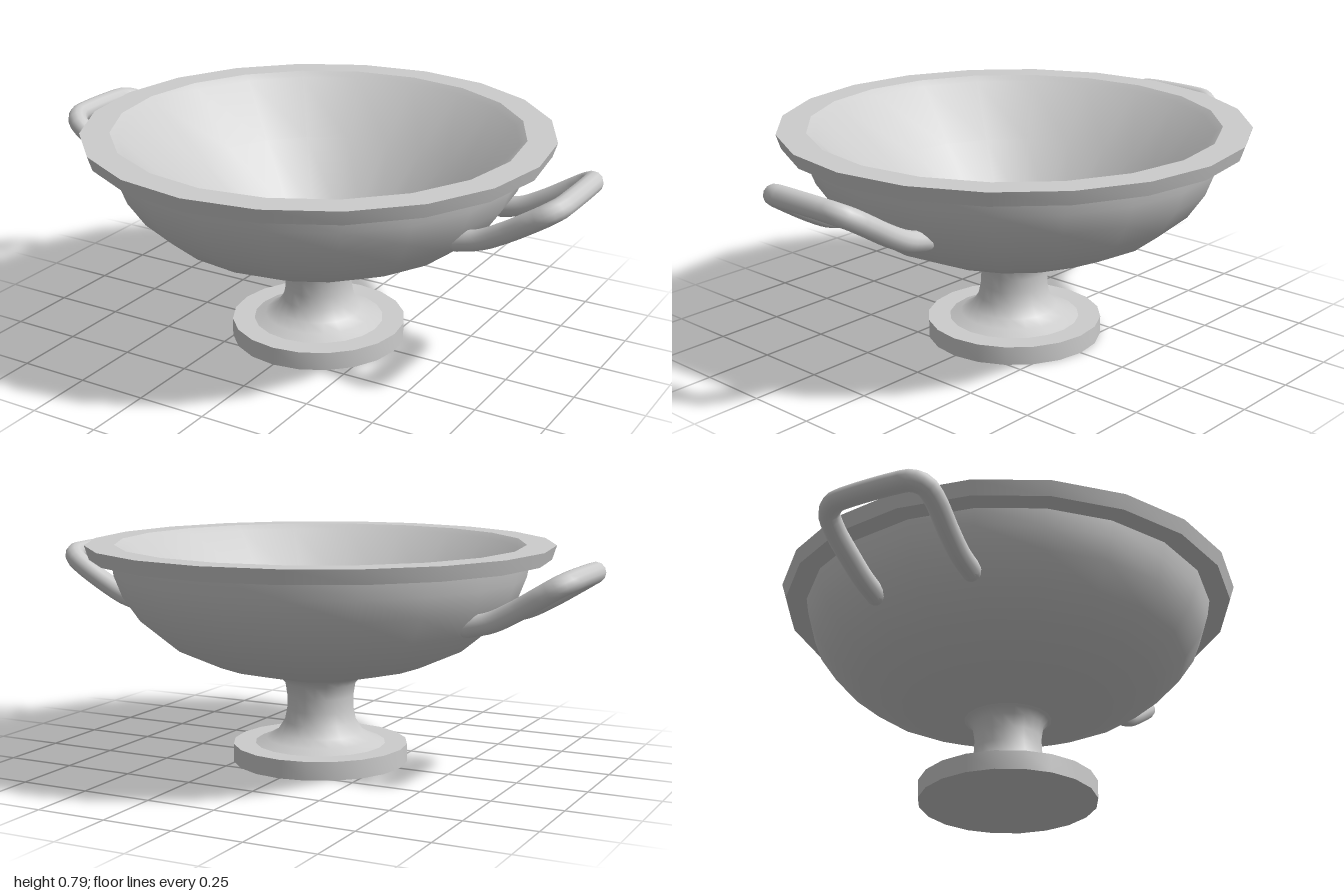
import * as THREE from 'three';
import { toCreasedNormals } from 'three/addons/utils/BufferGeometryUtils.js';

const SIDES = 20;
const material = new THREE.MeshStandardMaterial({ color: 0xcccccc });

// Turned part: profile of [radius, height], smooth except at sharp edges
function turned(name, profile, crease = 0.62) {
  const points = profile.map(([r, y]) => new THREE.Vector2(r, y));
  const geometry = toCreasedNormals(new THREE.LatheGeometry(points, SIDES), crease);
  const mesh = new THREE.Mesh(geometry, material);
  mesh.name = name;
  return mesh;
}

// Bent rod with domed ends, rising outwards from the bowl wall
function createHandle(name, side) {
  const leg = [[0.63, 0.555, 0.18], [0.71, 0.575, 0.18], [0.79, 0.615, 0.183],
    [0.89, 0.676, 0.187], [0.935, 0.704, 0.176], [0.96, 0.718, 0.14], [0.965, 0.721, 0.09]];
  const half = leg.map(([x, y, z]) => new THREE.Vector3(x * side, y, z));
  const otherHalf = half.map((p) => new THREE.Vector3(p.x, p.y, -p.z)).reverse();
  const path = new THREE.CatmullRomCurve3([...half, ...otherHalf], false, 'centripetal');
  const radius = 0.036;
  const handle = new THREE.Group();
  handle.name = name;
  const rod = new THREE.Mesh(new THREE.TubeGeometry(path, 48, radius, 12), material);
  rod.name = name + 'Rod';
  handle.add(rod);
  for (const end of [half[0], otherHalf[otherHalf.length - 1]]) {
    const cap = new THREE.Mesh(new THREE.SphereGeometry(radius, 12, 8), material);
    cap.position.copy(end);
    cap.name = name + 'End';
    handle.add(cap);
  }
  return handle;
}

export function createModel() {
  const model = new THREE.Group();
  model.name = 'footedBowl';

  // Disc foot
  model.add(turned('foot', [[0, 0], [0.315, 0], [0.315, 0.066], [0.2, 0.066]]));

  // Waisted stem flaring into foot and bowl
  model.add(turned('stem', [[0.24, 0.064], [0.195, 0.083], [0.155, 0.105], [0.13, 0.145],
    [0.121, 0.19], [0.12, 0.24], [0.127, 0.285], [0.145, 0.306], [0.17, 0.318]], 1));

  // Rounded outer wall
  model.add(turned('bowlWall', [[0.1, 0.302], [0.16, 0.312], [0.385, 0.366], [0.54, 0.437],
    [0.64, 0.52], [0.7, 0.607], [0.728, 0.68], [0.738, 0.742]]));

  // Flat rim, sloping interior and flat floor
  model.add(turned('rimAndInterior', [[0.72, 0.74], [0.812, 0.74], [0.828, 0.79], [0.725, 0.79],
    [0.7, 0.772], [0.51, 0.585], [0.3, 0.385], [0, 0.385]]));

  model.add(createHandle('leftHandle', 1), createHandle('rightHandle', -1));
  return model;
}
